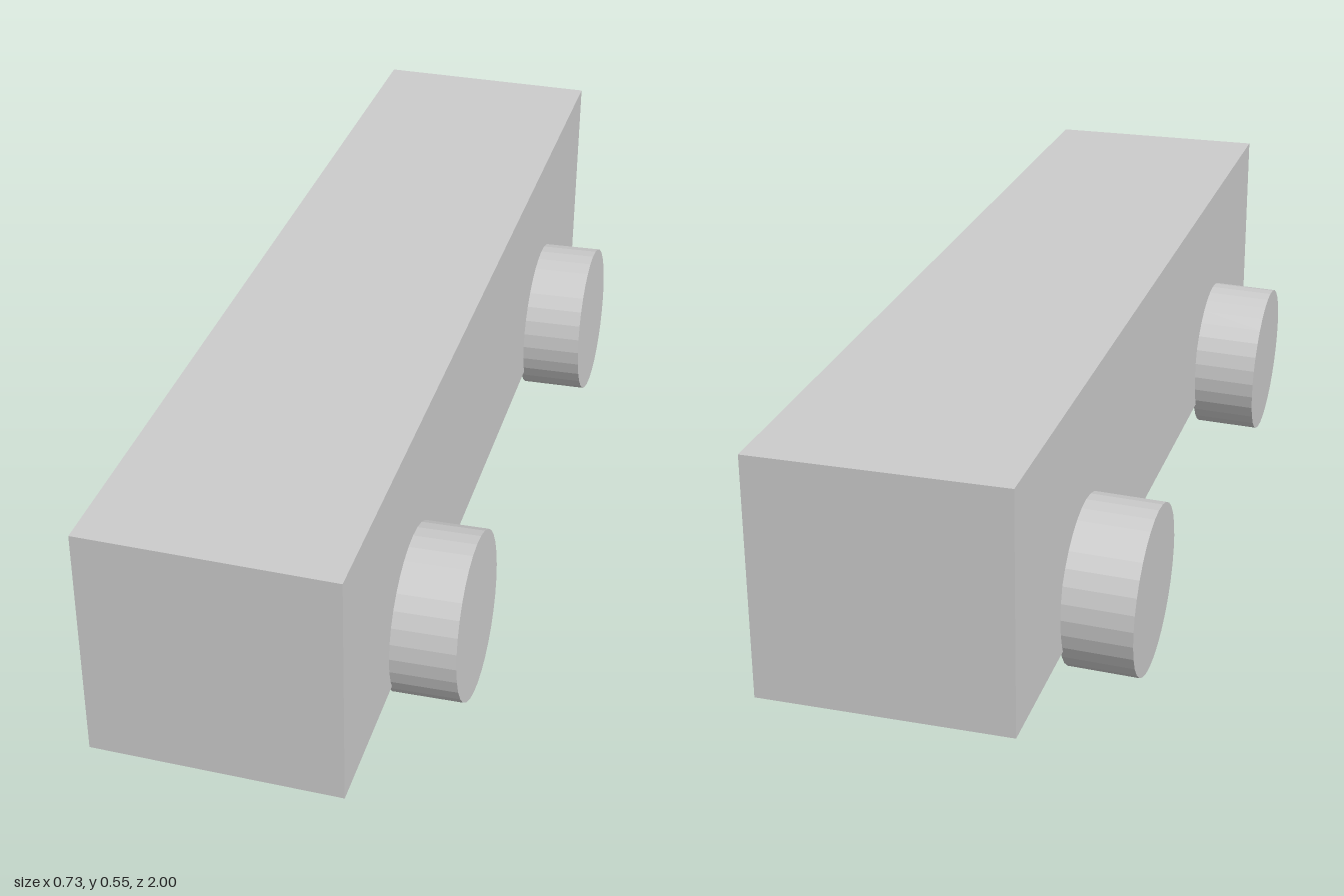
import * as THREE from 'three';

export function createModel() {
  const model = new THREE.Group();
  const material = new THREE.MeshStandardMaterial({ color: 0xcccccc, flatShading: true });

  // Long box body
  const body = new THREE.Mesh(new THREE.BoxGeometry(0.466, 0.457, 2), material);
  body.name = 'body';
  body.position.set(0.003, 0.324, 0);
  model.add(body);

  // Four faceted wheels, all leaning slightly the same way
  const wheelGeometry = new THREE.CylinderGeometry(0.161, 0.161, 0.134, 32);
  wheelGeometry.rotateZ(-Math.PI / 2);
  const wheels = [
    ['frontLeftWheel', 0.293, 0.177, 0.56],
    ['frontRightWheel', -0.295, 0.168, 0.572],
    ['backLeftWheel', 0.293, 0.174, -0.578],
    ['backRightWheel', -0.295, 0.166, -0.567],
  ];
  for (const [name, x, y, z] of wheels) {
    const wheel = new THREE.Mesh(wheelGeometry, material);
    wheel.name = name;
    wheel.position.set(x, y, z);
    wheel.rotation.z = 0.031;
    model.add(wheel);
  }

  return model;
}
